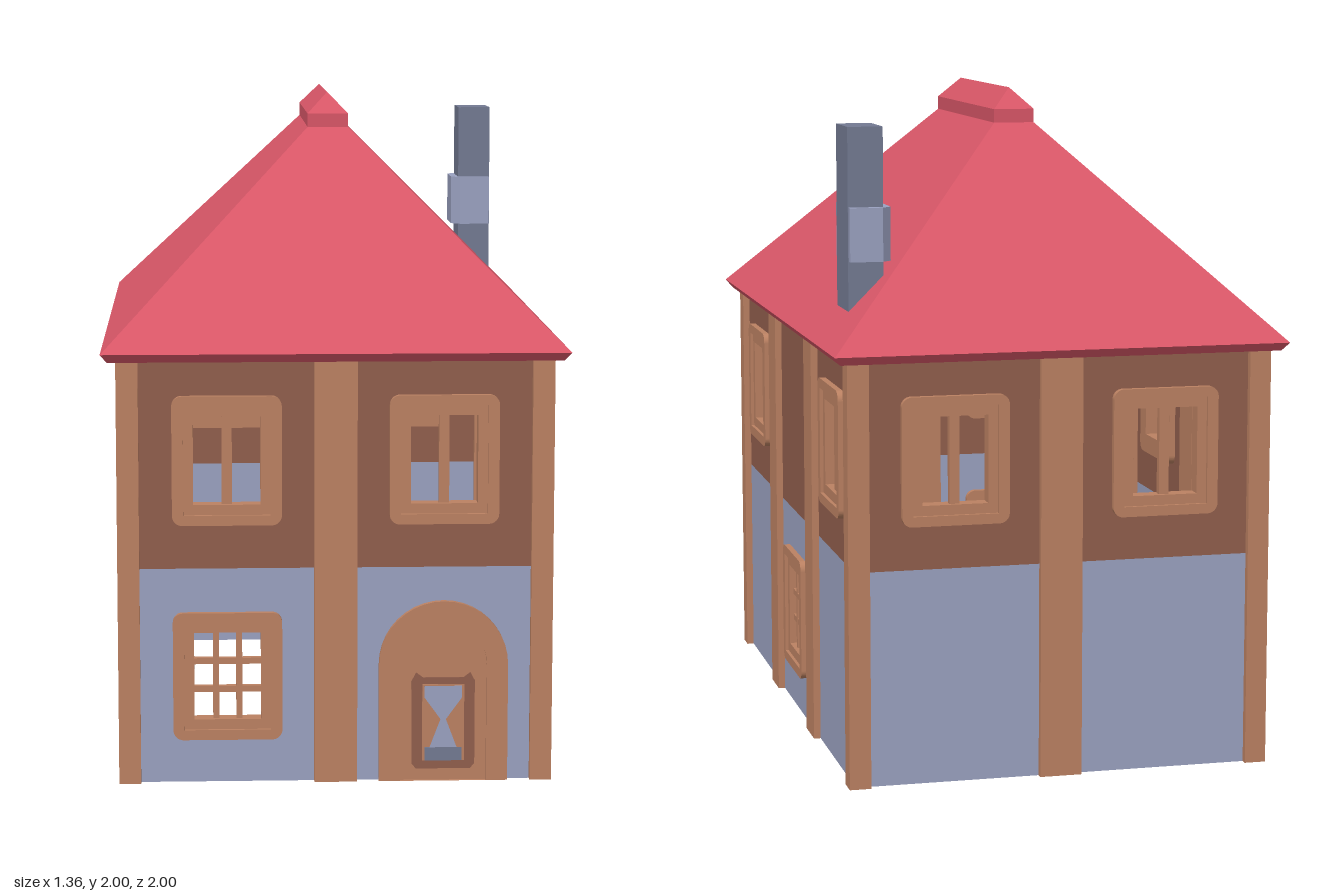
import * as THREE from 'three';

const mat = (name, color) => new THREE.MeshStandardMaterial({ name, color });
const timber = mat('timber', 0xbb8162);
const brown = mat('brownPlaster', 0x905e4c);
const blue = mat('bluePlaster', 0x9aa1c0);
const red = mat('roofRed', 0xd85667);
const grey = mat('chimneyGrey', 0x737a92);

const HX = 0.615, HZ = 0.935; // wall faces
const SPLIT = 0.64, TOP = 1.255; // storey line and eaves

function add(parent, name, geometry, material) {
  const mesh = new THREE.Mesh(geometry, material);
  mesh.name = name;
  parent.add(mesh);
  return mesh;
}

function box(parent, name, material, x0, x1, y0, y1, z0, z1) {
  const g = new THREE.BoxGeometry(x1 - x0, y1 - y0, z1 - z0);
  g.translate((x0 + x1) / 2, (y0 + y1) / 2, (z0 + z1) / 2);
  return add(parent, name, g, material);
}

// Extrude a shape between two depths
function slab(parent, name, material, shape, z0, z1) {
  const g = new THREE.ExtrudeGeometry(shape, { depth: z1 - z0, bevelEnabled: false, curveSegments: 10 });
  g.translate(0, 0, z0);
  return add(parent, name, g, material);
}

const poly = (pts) => new THREE.Shape(pts.map(([x, y]) => new THREE.Vector2(x, y)));
const rect = (cx, cy, hw, hh) => poly([[cx - hw, cy - hh], [cx + hw, cy - hh], [cx + hw, cy + hh], [cx - hw, cy + hh]]);

function roundRect(hw, hh, r) {
  const s = new THREE.Shape();
  s.absarc(hw - r, hh - r, r, 0, Math.PI / 2);
  s.absarc(-hw + r, hh - r, r, Math.PI / 2, Math.PI);
  s.absarc(-hw + r, -hh + r, r, Math.PI, Math.PI * 1.5);
  s.absarc(hw - r, -hh + r, r, Math.PI * 1.5, Math.PI * 2);
  return s;
}

function arch(hw, spring) {
  const s = new THREE.Shape();
  s.moveTo(-hw, 0);
  s.lineTo(hw, 0);
  s.absarc(0, spring, hw, 0, Math.PI);
  return s;
}

// Stepped frame with mullions: one upright upstairs, a grid downstairs
function makeWindow(parent, x, y, upper) {
  const w = new THREE.Group();
  w.name = upper ? 'upperWindow' : 'lowerWindow';
  w.position.set(x, y, 0);
  parent.add(w);
  const outer = roundRect(0.16, 0.19, 0.03);
  outer.holes.push(rect(0, 0, 0.127, 0.16));
  slab(w, 'outerFrame', timber, outer, -0.04, 0.019);
  const inner = rect(0, 0, 0.127, 0.16);
  inner.holes.push(rect(0, 0, 0.098, 0.13));
  slab(w, 'innerFrame', timber, inner, -0.04, 0.009);
  const bar = (bx) => {
    const h = upper ? 0.015 : 0.009;
    box(w, 'uprightBar', timber, bx - h, bx + h, -0.13, 0.13, -0.025, -0.003);
  };
  (upper ? [0] : [-0.034, 0.034]).forEach(bar);
  if (!upper) for (const by of [-0.042, 0.042]) {
    box(w, 'crossBar', timber, -0.098, 0.098, by - 0.009, by + 0.009, -0.024, -0.004);
  }
}

function makeDoor(parent, x) {
  const d = new THREE.Group();
  d.name = 'door';
  d.position.x = x;
  parent.add(d);
  const frame = arch(0.19, 0.35);
  frame.holes.push(arch(0.127, 0.353));
  slab(d, 'doorFrame', timber, frame, -0.04, 0.019);
  slab(d, 'doorLeaf', timber, arch(0.127, 0.353), -0.035, 0.007);
  // Inset panel with hourglass ornament
  const panel = poly([[-0.08, 0.035], [0.08, 0.035], [0.093, 0.05], [0.093, 0.3], [0.08, 0.325],
    [0.06, 0.31], [-0.06, 0.31], [-0.08, 0.325], [-0.093, 0.3], [-0.093, 0.05]]);
  slab(d, 'doorPanel', brown, panel, 0.007, 0.011);
  slab(d, 'panelCentre', timber, rect(0, 0.175, 0.062, 0.115), 0.011, 0.013);
  slab(d, 'hourglass', blue, poly([[-0.04, 0.1], [0.04, 0.1], [0.008, 0.185], [0.055, 0.25],
    [0.055, 0.285], [-0.055, 0.285], [-0.055, 0.25], [-0.008, 0.185]]), 0.013, 0.015);
  slab(d, 'panelFoot', grey, rect(0, 0.08, 0.055, 0.02), 0.013, 0.015);
}

// One side of the house, built facing +z and turned into place
function makeWall(parent, name, half, distance, angle, lower, upper, doors, posts) {
  const g = new THREE.Group();
  g.name = name;
  g.rotation.y = angle;
  g.position.set(Math.sin(angle) * distance, 0, Math.cos(angle) * distance);
  parent.add(g);
  const low = rect(0, SPLIT / 2, half, SPLIT / 2);
  for (const x of lower) low.holes.push(rect(x, 0.32, 0.12, 0.15));
  slab(g, 'lowerWall', blue, low, -0.02, 0);
  const high = rect(0, (SPLIT + TOP) / 2, half, (TOP - SPLIT) / 2);
  for (const x of upper) high.holes.push(rect(x, 0.96, 0.12, 0.15));
  slab(g, 'upperWall', brown, high, -0.02, 0);
  lower.forEach((x) => makeWindow(g, x, 0.32, false));
  upper.forEach((x) => makeWindow(g, x, 0.96, true));
  doors.forEach((x) => makeDoor(g, x));
  posts.forEach((x) => box(g, 'wallPost', timber, x - 0.063, x + 0.063, 0, TOP, -0.035, 0.021));
}

// Solid through rectangular rings of [halfX, y, halfZ]
function ringSolid(rings) {
  const corners = [[1, 1], [1, -1], [-1, -1], [-1, 1]];
  const at = (r, i) => [corners[i % 4][0] * r[0], r[1], corners[i % 4][1] * r[2]];
  const p = [];
  const quad = (a, b, c, d) => p.push(...a, ...b, ...c, ...a, ...c, ...d);
  for (let k = 0; k + 1 < rings.length; k++) {
    for (let i = 0; i < 4; i++) {
      quad(at(rings[k], i), at(rings[k], i + 1), at(rings[k + 1], i + 1), at(rings[k + 1], i));
    }
  }
  const b = rings[0], t = rings[rings.length - 1];
  quad(at(b, 0), at(b, 3), at(b, 2), at(b, 1));
  quad(at(t, 0), at(t, 1), at(t, 2), at(t, 3));
  const g = new THREE.BufferGeometry();
  g.setAttribute('position', new THREE.Float32BufferAttribute(p, 3));
  g.computeVertexNormals();
  return g;
}

export function createModel() {
  const house = new THREE.Group();
  house.name = 'house';

  // Walls with their openings
  const q = Math.PI / 2;
  makeWall(house, 'frontWall', HX, HZ, 0, [-0.317], [-0.317, 0.317], [0.317], [0]);
  makeWall(house, 'backWall', HX, HZ, Math.PI, [], [-0.317, 0.317], [], [0]);
  makeWall(house, 'leftWall', HZ, HX, q, [0], [-0.64, 0.64], [], [-0.318, 0.318]);
  makeWall(house, 'rightWall', HZ, HX, -q, [-0.64, 0.64], [0], [], [-0.318, 0.318]);

  // Corner posts
  for (const sx of [-1, 1]) for (const sz of [-1, 1]) {
    const post = box(house, 'cornerPost', timber, -0.032, 0.032, 0, TOP, -0.032, 0.032);
    post.position.set(sx * 0.605, 0, sz * 0.924);
  }

  // Inner panel joining the two lower windows at the corner
  const panel = box(house, 'innerCornerPanel', timber, -0.1, 0.1, 0.14, 0.5, -0.008, 0.008);
  panel.position.set(-0.53, 0, 0.85);
  panel.rotation.y = -Math.PI / 4;

  // Hipped roof and ridge cap
  add(house, 'roof', ringSolid([[0.66, 1.253, 0.98], [0.68, 1.278, 1], [0.062, 1.896, 0.382]]), red);
  add(house, 'ridgeCap', ringSolid([[0.062, 1.89, 0.382], [0.062, 1.937, 0.382], [0, 2, 0.32]]), red);

  // Chimney with a chamfered collar, flush on its outer side
  box(house, 'chimney', grey, 0.48, 0.585, 1.34, 1.912, -0.722, -0.552);
  const collar = poly([[0.583, 0.535], [0.583, 0.745], [0.485, 0.745], [0.457, 0.717], [0.457, 0.563], [0.485, 0.535]]);
  const band = slab(house, 'chimneyCollar', blue, collar, 1.52, 1.678);
  band.rotation.x = -Math.PI / 2;
  return house;
}
